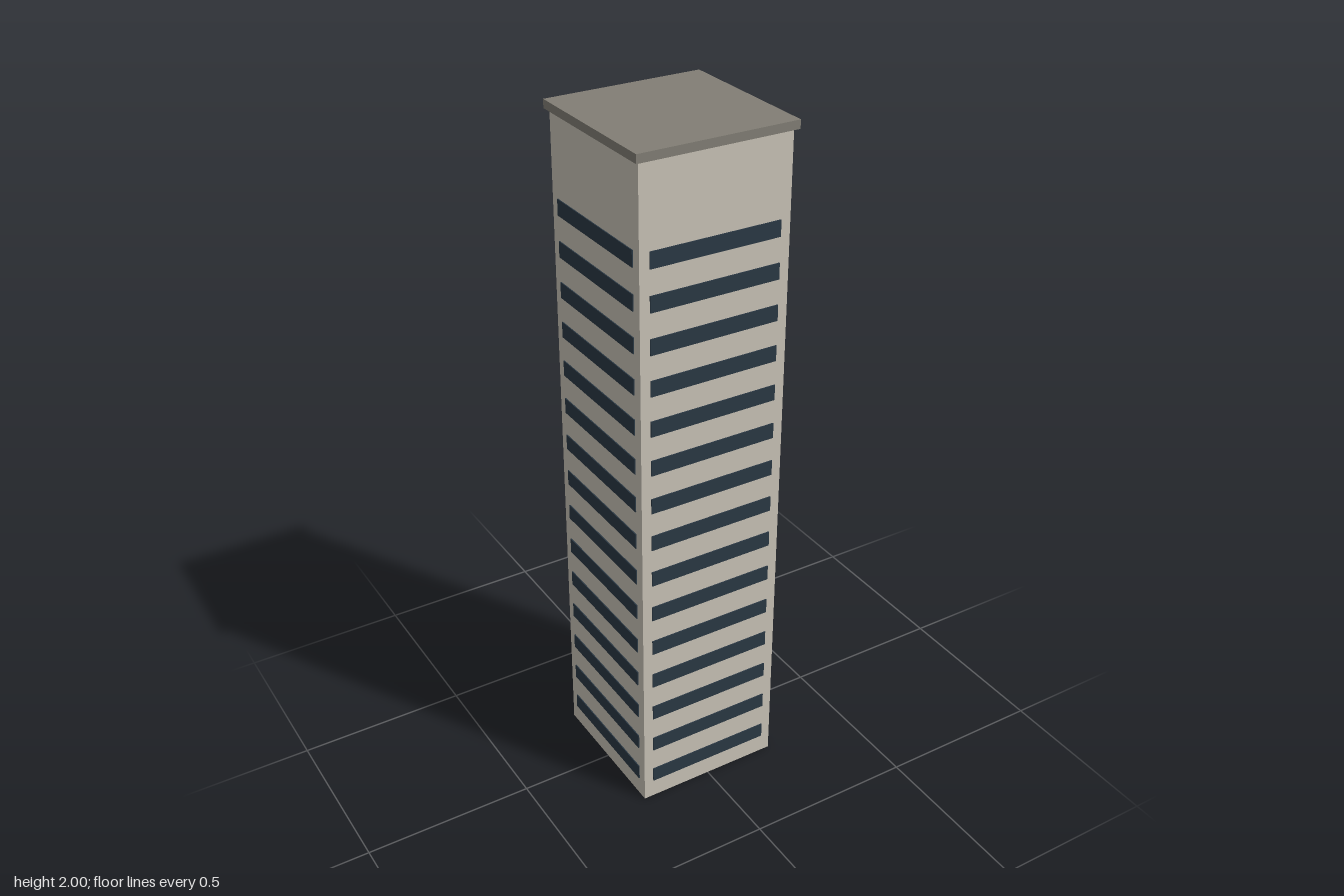
import * as THREE from 'three';

const HALF = 0.22, HEIGHT = 2, ROOF = 0.024;
const FLOORS = 15, FIRST = 0.082, STEP = 0.1172;

export function createModel() {
  const model = new THREE.Group();
  model.name = 'towerBlock';
  const wallMat = new THREE.MeshStandardMaterial({ color: 0xc8c2b6 });
  const roofMat = new THREE.MeshStandardMaterial({ color: 0x827e75 });
  const glassMat = new THREE.MeshStandardMaterial({ color: 0x2a3844 });

  const addBox = (parent, name, mat, size, pos) => {
    const mesh = new THREE.Mesh(new THREE.BoxGeometry(...size), mat);
    mesh.name = name;
    mesh.position.set(...pos);
    parent.add(mesh);
  };

  // Shaft and overhanging roof slab
  const wallHeight = HEIGHT - ROOF;
  addBox(model, 'shaft', wallMat, [HALF * 2, wallHeight, HALF * 2], [0, wallHeight / 2, 0]);
  addBox(model, 'roofSlab', roofMat, [0.462, ROOF, 0.462], [0, HEIGHT - ROOF / 2, 0]);

  // One column of window strips per side, standing slightly proud of the wall
  ['front', 'left', 'back', 'right'].forEach((side, i) => {
    const facade = new THREE.Group();
    facade.name = side + 'Windows';
    facade.rotation.y = i * Math.PI / 2;
    for (let f = 0; f < FLOORS; f++) {
      addBox(facade, 'windowStrip', glassMat, [0.382, 0.046, 0.006], [0, FIRST + f * STEP, HALF]);
    }
    model.add(facade);
  });
  return model;
}
